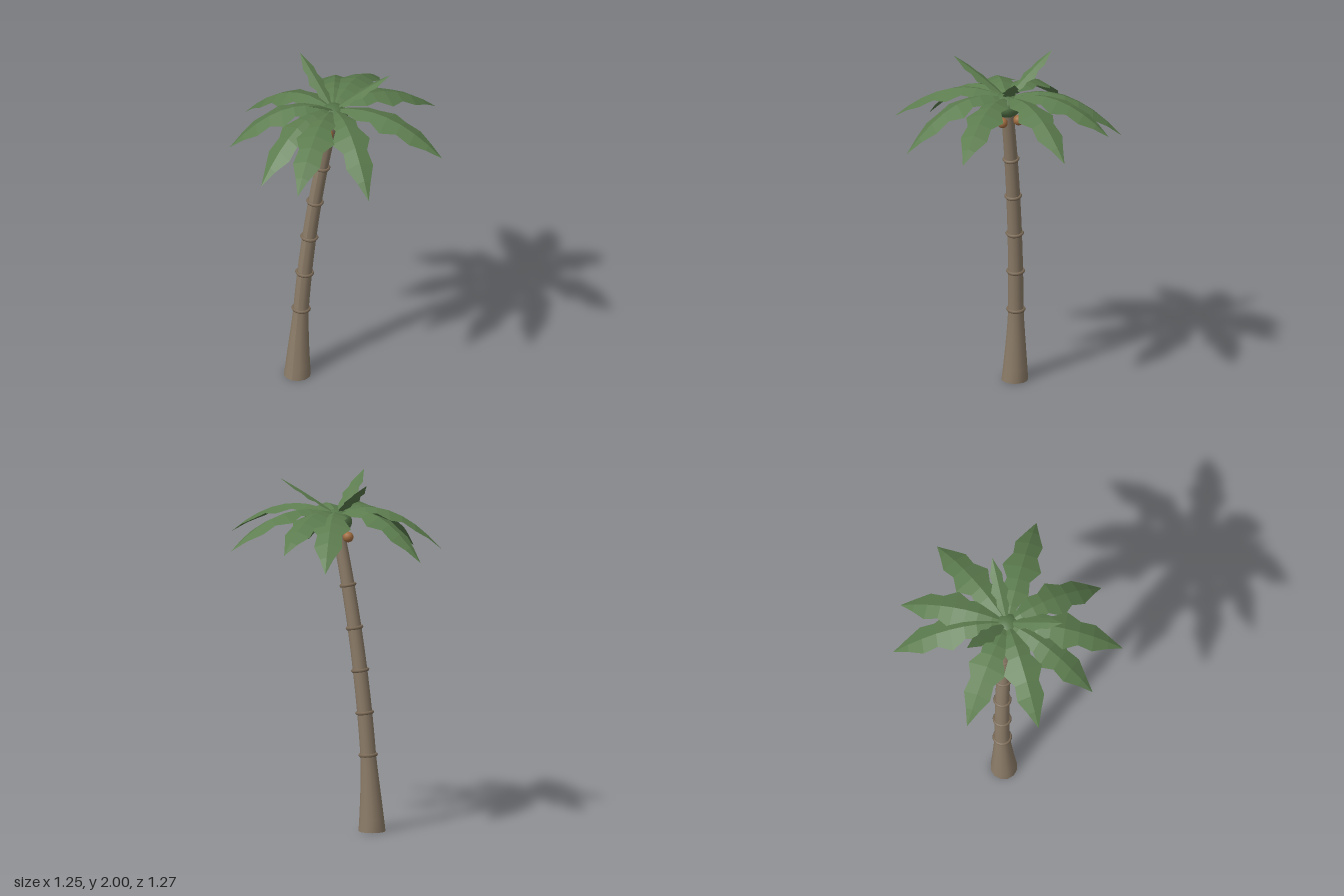
import * as THREE from 'three';

const mat = (name, color, extra = {}) =>
  Object.assign(new THREE.MeshStandardMaterial({ color, ...extra }), { name });

// Trunk centre line and radius as functions of height
const centre = (y) => new THREE.Vector3(
  -0.255 + 0.013 * y + 0.061 * y * y, y, 0.01 - 0.035 * y + 0.01 * y * y);
const radius = (y) => 0.047 - 0.0065 * y + 0.029 * Math.pow(Math.max(0, 1 - y / 0.42), 1.2);

const CROWN = new THREE.Vector3(-0.05, 1.75, -0.02);

// Serrated half-widths along a frond: [fraction of length, half-width]
const OUTLINE = [
  [0.06, 0.02], [0.14, 0.036], [0.27, 0.078], [0.38, 0.066], [0.5, 0.112],
  [0.625, 0.07], [0.75, 0.079], [0.875, 0.038], [1, 0.0005],
];

// Ridged leaf from the crown to its tip, rising by `lift` before it droops
function frondGeometry(tip, lift, widthScale) {
  const dx = tip.x - CROWN.x, dz = tip.z - CROWN.z;
  const len = Math.hypot(dx, dz);
  const sx = -dz / len, sz = dx / len;
  const y0 = 1.79, fall = tip.y - y0 - lift;
  const pos = [], index = [];
  OUTLINE.forEach(([s, w], i) => {
    const y = y0 + lift * s + fall * s * s;
    for (const side of [-1, 0, 1]) {
      const o = side * w * widthScale;
      pos.push(CROWN.x + dx * s + sx * o, y - Math.abs(o) * 0.35, CROWN.z + dz * s + sz * o);
    }
    if (i === 0) return;
    for (const j of [0, 1]) {
      const a = (i - 1) * 3 + j;
      index.push(a, a + 1, a + 3, a + 1, a + 4, a + 3);
    }
  });
  const g = new THREE.BufferGeometry();
  g.setAttribute('position', new THREE.Float32BufferAttribute(pos, 3));
  g.setIndex(index);
  const flat = g.toNonIndexed();
  flat.computeVertexNormals();
  return flat;
}

export function createModel() {
  const bark = mat('bark', 0x8c7c68);
  const ringBark = mat('ringBark', 0x7c6b57);
  const leaf = mat('leaf', 0x5c7c4e, { flatShading: true, side: THREE.DoubleSide });
  const bud = mat('bud', 0x557549);
  const husk = mat('husk', 0xa06c40);

  const model = new THREE.Group();
  model.name = 'palmTree';
  const add = (name, geometry, material, parent = model) => {
    const mesh = new THREE.Mesh(geometry, material);
    mesh.name = name;
    parent.add(mesh);
    return mesh;
  };
  const group = (name) => {
    const g = new THREE.Group();
    g.name = name;
    model.add(g);
    return g;
  };

  // Trunk: a cylinder bent along the centre line and flared at the foot
  const trunk = new THREE.CylinderGeometry(1, 1, 1.72, 12, 24);
  trunk.translate(0, 0.86, 0);
  const p = trunk.attributes.position;
  for (let i = 0; i < p.count; i++) {
    const y = p.getY(i), c = centre(y), r = radius(y);
    p.setXYZ(i, c.x + p.getX(i) * r, y, c.z + p.getZ(i) * r);
  }
  trunk.computeVertexNormals();
  add('trunk', trunk, bark);

  // Growth rings, square to the trunk
  const rings = group('trunkRings');
  for (const y of [0.435, 0.675, 0.915, 1.155, 1.395]) {
    const ring = add('trunkRing', new THREE.TorusGeometry(radius(y) + 0.001, 0.01, 6, 16), ringBark, rings);
    ring.position.copy(centre(y));
    const along = centre(y + 0.01).sub(centre(y - 0.01)).normalize();
    ring.quaternion.setFromUnitVectors(new THREE.Vector3(0, 0, 1), along);
  }

  // Bud the fronds grow from
  const crown = add('crownBud', new THREE.SphereGeometry(1, 16, 12), bud);
  crown.scale.set(0.085, 0.07, 0.085);
  crown.position.copy(CROWN);

  // Drooping fronds, by tip position
  const lower = group('droopingFronds');
  for (const [x, y, z] of [
    [0.62, 1.64, -0.01], [0.36, 1.545, 0.425], [0.015, 1.61, 0.63],
    [-0.255, 1.545, 0.52], [-0.55, 1.59, 0.28], [-0.625, 1.575, -0.115],
    [-0.285, 1.56, -0.62], [-0.035, 1.65, -0.637], [0.36, 1.625, -0.52],
  ]) add('droopingFrond', frondGeometry(new THREE.Vector3(x, y, z), 0.28, 1), leaf, lower);

  // Young upright fronds
  const upper = group('uprightFronds');
  for (const [x, z] of [[-0.323, -0.187], [0.233, -0.173], [-0.055, 0.3]])
    add('uprightFrond', frondGeometry(new THREE.Vector3(x, 2, z), 0.24, 0.45), leaf, upper);

  // Coconuts round the top of the trunk
  const nuts = group('coconuts');
  for (let i = 0; i < 4; i++) {
    const a = (i * Math.PI) / 2;
    const nut = add('coconut', new THREE.SphereGeometry(0.03, 12, 10), husk, nuts);
    nut.position.set(CROWN.x + 0.07 * Math.cos(a), 1.667, CROWN.z + 0.07 * Math.sin(a));
  }
  return model;
}
